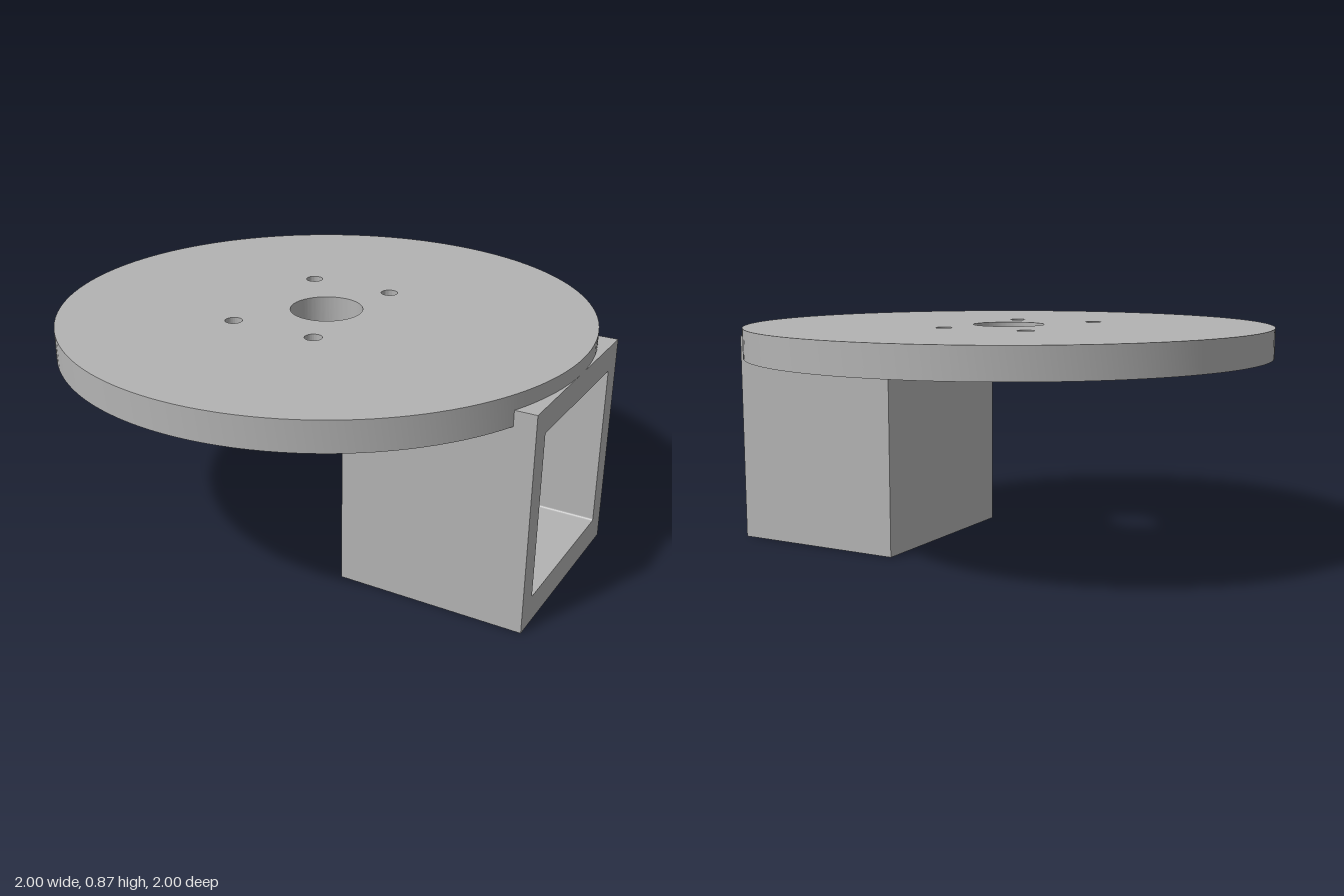
import * as THREE from 'three';
import { toCreasedNormals } from 'three/addons/utils/BufferGeometryUtils.js';

const gray = new THREE.MeshStandardMaterial({ color: 0xb3b3b3 });
gray.name = 'plain gray';

function addMesh(group, name, geometry) {
  const mesh = new THREE.Mesh(geometry, gray);
  mesh.name = name;
  group.add(mesh);
  return mesh;
}

function circlePath(x, y, r) {
  return new THREE.Path().absarc(x, y, r, 0, Math.PI * 2, true);
}

// Rectangle with slightly rounded corners
function roundedOpening(halfWidth, bottom, top, r) {
  const p = new THREE.Path();
  p.absarc(halfWidth - r, top - r, r, 0, Math.PI / 2);
  p.absarc(-halfWidth + r, top - r, r, Math.PI / 2, Math.PI);
  p.absarc(-halfWidth + r, bottom + r, r, Math.PI, Math.PI * 1.5);
  p.absarc(halfWidth - r, bottom + r, r, Math.PI * 1.5, Math.PI * 2);
  p.closePath();
  return p;
}

export function createModel() {
  const model = new THREE.Group();
  model.name = 'discWithSocket';

  // Round plate with a centre bore and four bolt holes
  const plateBottom = 0.757, plateTop = 0.869;
  const disc = new THREE.Shape().absarc(0, 0, 1, 0, Math.PI * 2, false);
  disc.holes.push(circlePath(0, 0, 0.136));
  for (const x of [-0.225, 0.115]) {
    for (const z of [-0.284, 0.284]) disc.holes.push(circlePath(x, z, 0.032));
  }
  const plate = new THREE.ExtrudeGeometry(disc, {
    depth: plateTop - plateBottom, bevelEnabled: false, curveSegments: 64,
  });
  plate.rotateX(-Math.PI / 2).translate(0, plateBottom, 0);
  addMesh(model, 'roundPlate', toCreasedNormals(plate, 0.6));

  // Square socket under the rim, open on the outer side
  const half = 0.389, height = 0.814, innerEnd = 0.295, wall = 0.082;
  const socket = new THREE.Group();
  socket.name = 'socket';
  const outline = new THREE.Shape();
  outline.moveTo(-half, 0).lineTo(half, 0).lineTo(half, height).lineTo(-half, height).closePath();
  outline.holes.push(roundedOpening(0.307, 0.102, 0.719, 0.008));
  const sleeve = new THREE.ExtrudeGeometry(outline, {
    depth: 1 - innerEnd - wall, bevelEnabled: false, curveSegments: 4,
  });
  sleeve.rotateY(Math.PI / 2).translate(innerEnd + wall, 0, 0);
  addMesh(socket, 'socketWalls', sleeve);

  // Closed inner end of the socket
  const end = new THREE.BoxGeometry(wall, height, half * 2);
  end.translate(innerEnd + wall / 2, height / 2, 0);
  addMesh(socket, 'socketEndWall', end);
  model.add(socket);

  return model;
}
